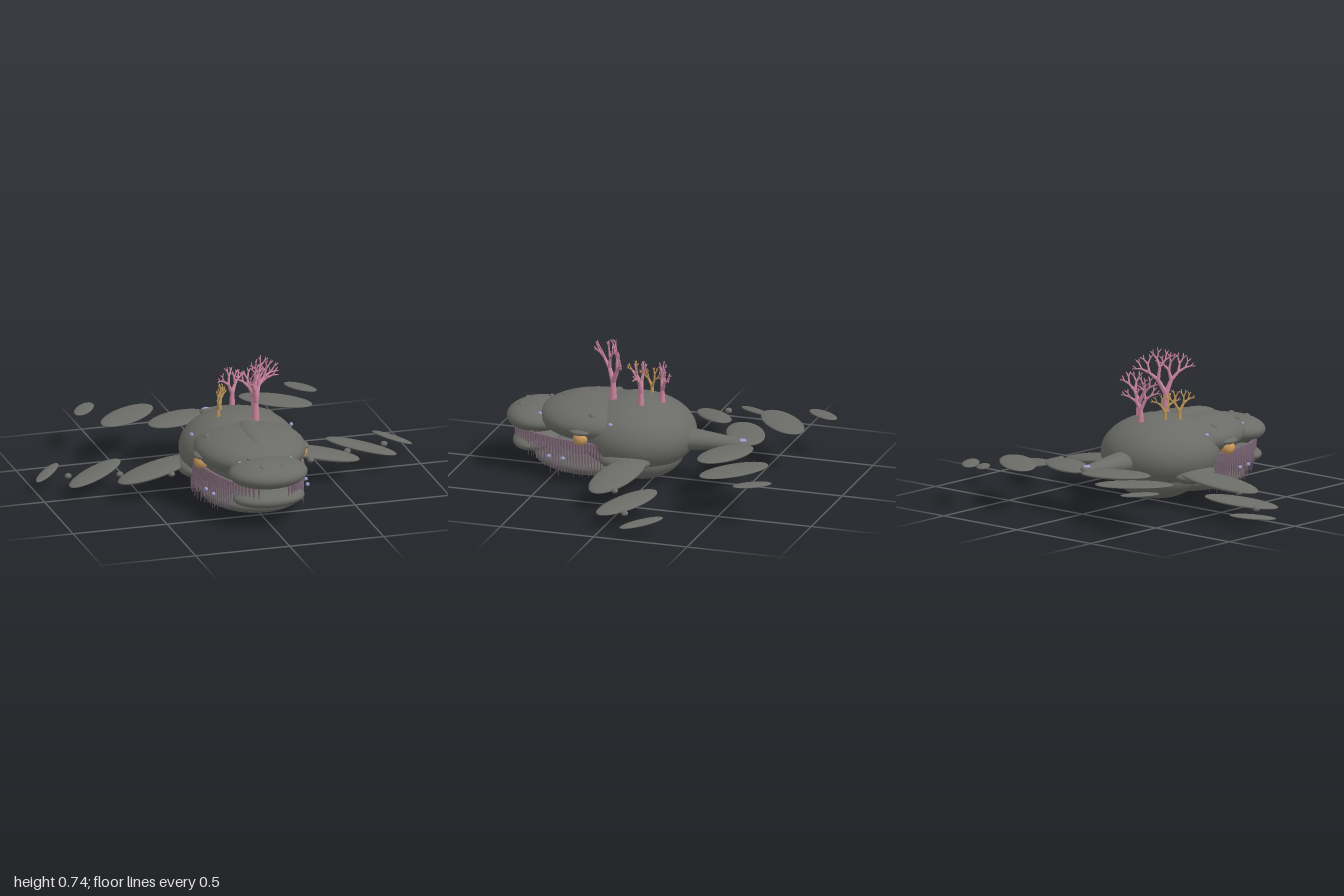
import * as THREE from 'three';
import { mergeGeometries } from 'three/addons/utils/BufferGeometryUtils.js';

export function createModel() {
  const model = new THREE.Group();
  model.name = 'coralWhale';

  const mat = (name, color) => {
    const m = new THREE.MeshStandardMaterial({ color });
    m.name = name;
    return m;
  };
  const skin = mat('greySkin', 0x6b6b67);
  const pink = mat('pinkCoral', 0xc9849e);
  const tan = mat('tanCoral', 0xb8925a);
  const amber = mat('amberEye', 0xcb9a5c);
  const mauve = mat('mauveBaleen', 0x7d6876);
  const lavender = mat('lavenderBarnacle', 0x9c9acb);

  const ball = new THREE.SphereGeometry(1, 40, 28);
  const bead = new THREE.SphereGeometry(1, 16, 12);
  const blob = (name, material, p, r, rot = [0, 0, 0], geo = ball) => {
    const m = new THREE.Mesh(geo, material);
    m.name = name;
    m.position.set(...p);
    m.scale.set(...r);
    m.rotation.set(...rot);
    model.add(m);
    return m;
  };

  // Body, head and jaw
  blob('body', skin, [0, 0.235, 0.1], [0.305, 0.195, 0.308]);
  blob('belly', skin, [0, 0.127, 0.06], [0.235, 0.125, 0.2]);
  blob('head', skin, [0, 0.3, 0.3], [0.285, 0.113, 0.31]);
  blob('foreheadRidge', skin, [0, 0.36, 0.32], [0.08, 0.065, 0.2]);
  blob('snout', skin, [0, 0.273, 0.62], [0.205, 0.073, 0.165]);
  blob('lowerJaw', skin, [0, 0.085, 0.335], [0.258, 0.077, 0.3]);
  blob('lowerLip', skin, [0, 0.147, 0.635], [0.187, 0.05, 0.115]);

  // Tail stalk
  const stalk = new THREE.Mesh(new THREE.CylinderGeometry(0.034, 0.08, 0.34, 32), skin);
  stalk.name = 'tailStalk';
  stalk.rotation.x = -Math.PI / 2;
  stalk.scale.z = 0.75;
  stalk.position.set(0, 0.222, -0.31);
  model.add(stalk);
  blob('tailTip', skin, [0, 0.222, -0.475], [0.034, 0.024, 0.025]);
  blob('tailBarnacle', lavender, [0, 0.237, -0.465], [0.024, 0.015, 0.024]);

  // Fin plates: centre, radii, sweep toward the front
  const flukes = [
    [[0.165, 0.22, -0.428], [0.18, 0.018, 0.0975], 0.45],
    [[0.395, 0.22, -0.55], [0.2, 0.013, 0.09], 0.69],
    [[0.575, 0.219, -0.708], [0.102, 0.009, 0.043], 0.98],
  ];
  const fins = [
    [[0.43, 0.14, 0.063], [0.22, 0.024, 0.1], 0.27],
    [[0.708, 0.1, -0.08], [0.19, 0.016, 0.075], 0.59],
    [[0.917, 0.075, -0.227], [0.12, 0.01, 0.035], 0.855],
  ];
  const joints = [[0.37, 0.14, 0.15], [0.605, 0.118, 0.018], [0.84, 0.088, -0.113]];
  const barnacles = [
    [0.265, 0.345, 0.155], [0.24, 0.34, 0.235], [0.235, 0.34, 0.315],
    [0.135, 0.318, 0.575], [0.25, 0.137, 0.49], [0.265, 0.137, 0.41],
  ];

  // Baleen bristle, tapering down from its root
  const bristle = new THREE.ConeGeometry(0.009, 1, 8);
  bristle.rotateX(Math.PI);
  bristle.translate(0, -0.5, 0);

  for (const s of [1, -1]) {
    const side = s > 0 ? 'left' : 'right';
    const at = ([x, y, z]) => [s * x, y, z];

    flukes.forEach(([p, r, sweep], i) =>
      blob(`${side}Fluke${i + 1}`, skin, at(p), r, [0, -s * sweep, 0]));

    fins.forEach(([p, r, sweep], i) => {
      const fin = blob(`${side}Fin${i + 1}`, skin, at(p), r, [0, -s * sweep, -s * 0.16]);
      fin.rotation.order = 'ZYX';
    });
    blob(`${side}Shoulder`, skin, [s * 0.245, 0.15, 0.085], [0.075, 0.046, 0.135]);
    joints.forEach((p, i) =>
      blob(`${side}FinJoint${i + 1}`, skin, at(p), [0.018, 0.014, 0.018], [0, 0, 0], bead));

    // Eye and heavy lid
    blob(`${side}Eye`, amber, [s * 0.262, 0.256, 0.316], [0.038, 0.038, 0.038]);
    blob(`${side}Eyelid`, skin, [s * 0.262, 0.29, 0.316], [0.042, 0.018, 0.06]);

    // Skin knobs and nostrils
    blob(`${side}BrowKnob`, skin, [s * 0.215, 0.365, 0.265], [0.02, 0.016, 0.02], [0, 0, 0], bead);
    blob(`${side}Nostril`, skin, [s * 0.052, 0.328, 0.7], [0.017, 0.013, 0.017], [0, 0, 0], bead);
    barnacles.forEach((p, i) =>
      blob(`${side}Barnacle${i + 1}`, lavender, at(p), [0.01, 0.01, 0.012], [0, 0, 0], bead));

    // Baleen row following the mouth edge, longer toward the back
    const row = [];
    const count = 34;
    for (let i = 0; i < count; i++) {
      const t = i / (count - 1);
      const z = 0.17 + 0.555 * t;
      const x = 0.272 * Math.sqrt(1 - (0.555 * t / 0.58) ** 2);
      const length = (t < 0.55 ? 0.2 : 0.2 - 0.26 * (t - 0.55)) + 0.008 * Math.sin(i * 2.4);
      const g = bristle.clone();
      g.scale(1, length, 1);
      g.translate(s * x, 0.235, z);
      row.push(g);
    }
    const baleen = new THREE.Mesh(mergeGeometries(row), mauve);
    baleen.name = `${side}Baleen`;
    model.add(baleen);
  }
  blob('snoutKnob', skin, [-0.09, 0.34, 0.585], [0.012, 0.01, 0.012], [0, 0, 0], bead);

  // Branching fan corals growing from the back
  let seed = 7;
  const rand = () => (seed = (seed * 16807) % 2147483647) / 2147483647;
  const up = new THREE.Vector3(0, 1, 0);

  const coral = (name, material, base, height, radius, turn, levels) => {
    const parts = [];
    const grow = (start, lean, tilt, len, r, level) => {
      const dir = new THREE.Vector3(Math.sin(lean), Math.cos(lean), Math.sin(tilt) * 0.6).normalize();
      const end = start.clone().addScaledVector(dir, len);
      const g = new THREE.CylinderGeometry(r * 0.68, r, len, 8);
      g.translate(0, len / 2, 0);
      g.applyQuaternion(new THREE.Quaternion().setFromUnitVectors(up, dir));
      g.translate(start.x, start.y, start.z);
      parts.push(g);
      if (level === 0) return;
      for (const k of [-1, 1]) {
        const spread = 0.36 + 0.2 * rand();
        grow(end, lean * 0.85 + k * spread, tilt + (rand() - 0.5) * 0.7,
          len * (0.66 + 0.14 * rand()), r * 0.7, level - 1);
      }
    };
    grow(new THREE.Vector3(0, -0.02, 0), 0, 0, height * 0.38, radius, levels);
    const mesh = new THREE.Mesh(mergeGeometries(parts), material);
    mesh.name = name;
    mesh.position.set(...base);
    mesh.rotation.y = turn;
    model.add(mesh);
  };
  coral('largePinkCoral', pink, [0.06, 0.42, 0.207], 0.28, 0.021, 0.6, 5);
  coral('middlePinkCoral', pink, [0.1, 0.42, 0.045], 0.21, 0.018, 0.3, 4);
  coral('smallPinkCoral', pink, [0.01, 0.42, -0.04], 0.19, 0.016, 0.45, 4);
  coral('largeTanCoral', tan, [-0.112, 0.41, 0.118], 0.165, 0.013, 1.0, 4);
  coral('smallTanCoral', tan, [-0.08, 0.415, 0.045], 0.15, 0.012, 1.0, 4);

  return model;
}
